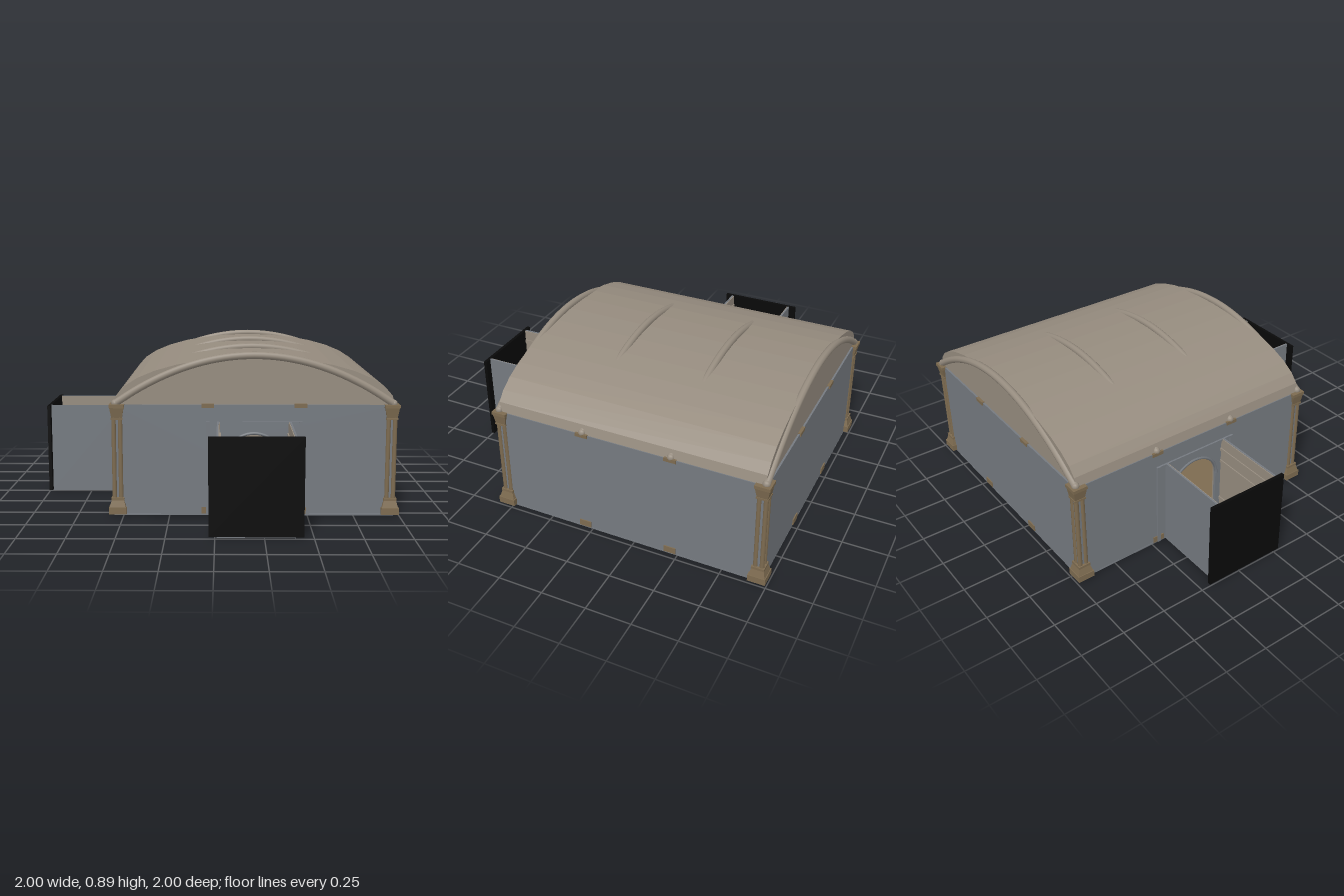
import * as THREE from 'three';

const mat = (name, color, extra = {}) => {
  const m = new THREE.MeshStandardMaterial({ color, ...extra });
  m.name = name;
  return m;
};

export function createModel() {
  const slate = mat('slate wall', 0x757a80);
  const stone = mat('warm stone', 0x968c7f);
  const facet = mat('warm stone', 0x968c7f, { flatShading: true });
  const tan = mat('tan stone', 0x7d6b50);
  const black = mat('black', 0x090909);

  const HALF = 0.76, WALL = 0.61, FLOOR = 0.01, HALL = 0.52;
  const model = new THREE.Group();
  model.name = 'vaultedRoom';
  const room = new THREE.Group();
  room.name = 'room';
  room.position.set(0.208, 0, -0.208);
  model.add(room);

  const add = (parent, name, geo, material, x = 0, y = 0, z = 0) => {
    const m = new THREE.Mesh(geo, material);
    m.name = name;
    m.position.set(x, y, z);
    parent.add(m);
    return m;
  };
  // box given by its bottom centre
  const box = (parent, name, w, h, d, material, x, y, z) =>
    add(parent, name, new THREE.BoxGeometry(w, h, d), material, x, y + h / 2, z);

  // floor: slate slab with a tan surface
  box(room, 'floorSlab', 2 * HALF, 0.009, 2 * HALF, slate, 0, 0, 0);
  box(room, 'floorSurface', 1.5, 0.004, 1.5, tan, 0, 0.008, 0);

  // wall outline, optionally pierced by an arched doorway
  const wallGeo = (half, depth, door) => {
    const s = new THREE.Shape();
    s.moveTo(-half, FLOOR).lineTo(half, FLOOR).lineTo(half, WALL).lineTo(-half, WALL).closePath();
    if (door) {
      const h = new THREE.Path();
      h.moveTo(-0.15, 0.02).lineTo(-0.15, 0.3);
      h.absarc(0, 0.3, 0.15, Math.PI, 0, true);
      h.lineTo(0.15, 0.02).closePath();
      s.holes.push(h);
    }
    return new THREE.ExtrudeGeometry(s, { depth, bevelEnabled: false, curveSegments: 16 });
  };

  // open-topped hallway with a black end panel
  const addHallway = (side) => {
    const hall = new THREE.Group();
    hall.name = 'hallway';
    side.add(hall);
    const end = 1.19, len = end - HALF, mid = (end + HALF) / 2;
    box(hall, 'hallFloorSlab', 0.4, 0.009, len, slate, 0, 0, mid);
    box(hall, 'hallFloor', 0.38, 0.004, len, tan, 0, 0.008, mid);
    for (const sx of [-1, 1]) {
      box(hall, 'hallWall', 0.01, HALL - FLOOR, len, slate, sx * 0.195, FLOOR, mid);
      box(hall, 'hallLining', 0.005, HALL - FLOOR - 0.002, len, stone, sx * 0.1875, FLOOR, mid);
      for (const y of [0.02, 0.1, 0.36, 0.44])
        box(hall, 'hallMoulding', 0.008, 0.018, len, stone, sx * 0.183, y, mid);
      box(hall, 'doorJamb', 0.018, HALL - FLOOR, 0.012, slate, sx * 0.25, FLOOR, HALF + 0.006);
    }
    box(hall, 'doorHeader', 0.5, 0.012, 0.01, slate, 0, HALL - 0.012, HALF + 0.005);
    add(hall, 'doorArchTrim', new THREE.TorusGeometry(0.155, 0.008, 6, 24, Math.PI), slate, 0, 0.3, HALF);
    box(hall, 'endPanel', 0.48, HALL - FLOOR, 0.018, black, 0, FLOOR, 1.199);
  };

  // four walls; the front and the model's right side have doorways
  [0, -1, 1, 2].forEach((turn, i) => {
    const side = new THREE.Group();
    side.name = 'wallSide';
    side.rotation.y = turn * Math.PI / 2;
    room.add(side);
    const door = i < 2;
    add(side, 'outerWall', wallGeo(HALF, 0.015, door), slate, 0, 0, HALF - 0.015);
    add(side, 'innerLining', wallGeo(HALF - 0.015, 0.01, door), stone, 0, 0, HALF - 0.025);
    // pilaster feet and caps showing through the wall
    for (const x of [-0.25, 0.25]) {
      box(side, 'pilasterFoot', 0.068, 0.036, 0.06, tan, x, FLOOR, HALF - 0.024);
      box(side, 'pilasterCap', 0.068, 0.02, 0.06, tan, x, 0.595, HALF - 0.024);
      box(side, 'pilasterShaft', 0.04, 0.55, 0.03, tan, x, 0.045, HALF - 0.04);
    }
    if (door) addHallway(side);
  });

  // corner columns: stepped base, clustered shafts, flared capital
  const shaft = new THREE.CylinderGeometry(0.0125, 0.0125, 0.46, 10);
  const flare = (top, bottom, h) =>
    new THREE.CylinderGeometry(top * Math.SQRT1_2, bottom * Math.SQRT1_2, h, 4, 1).rotateY(Math.PI / 4).toNonIndexed();
  const tanFacet = mat('tan stone', 0x7d6b50, { flatShading: true });
  for (const sx of [-1, 1]) for (const sz of [-1, 1]) {
    const col = new THREE.Group();
    col.name = 'cornerColumn';
    col.position.set(sx * 0.739, 0, sz * 0.739);
    room.add(col);
    box(col, 'plinth', 0.096, 0.038, 0.096, tan, 0, FLOOR, 0);
    add(col, 'baseTaper', flare(0.066, 0.088, 0.04), tanFacet, 0, 0.068, 0);
    box(col, 'baseRing', 0.07, 0.014, 0.07, tan, 0, 0.086, 0);
    box(col, 'shaftCore', 0.034, 0.45, 0.034, tan, 0, 0.095, 0);
    for (const a of [-1, 1]) for (const b of [-1, 1])
      add(col, 'shaft', shaft, tan, a * 0.0175, 0.325, b * 0.0175);
    box(col, 'neckRing', 0.064, 0.01, 0.064, tan, 0, 0.53, 0);
    add(col, 'capital', flare(0.076, 0.058, 0.055), tanFacet, 0, 0.5675, 0);
    box(col, 'abacus', 0.082, 0.018, 0.082, tan, 0, 0.594, 0);
  }

  // barrel vault with closed gables
  const vault = new THREE.Shape();
  const N = 16, RX = 0.755, RY = 0.258;
  for (let i = 0; i <= N; i++) {
    const a = i / N * Math.PI;
    const x = RX * Math.cos(a), y = WALL + RY * Math.sin(a);
    i ? vault.lineTo(x, y) : vault.moveTo(x, y);
  }
  vault.closePath();
  add(room, 'vaultRoof', new THREE.ExtrudeGeometry(vault, { depth: 1.5, bevelEnabled: false }), facet, 0, 0, -0.75);

  // arched ribs, mostly sunk in the roof, with rounded ends
  const pts = [];
  for (let i = 0; i <= 12; i++) {
    const u = i / 6 - 1;
    pts.push(new THREE.Vector3(u * 0.75, 0.615 + 0.26 * (1 - u * u), 0));
  }
  const rib = new THREE.TubeGeometry(new THREE.CatmullRomCurve3(pts), 40, 0.02, 10);
  const knob = new THREE.SphereGeometry(0.021, 12, 8);
  for (const z of [-0.75, -0.25, 0.25, 0.75]) {
    add(room, 'roofRib', rib, stone, 0, 0, z);
    for (const sx of [-1, 1]) add(room, 'ribEnd', knob, stone, sx * 0.748, 0.617, z);
  }
  return model;
}
